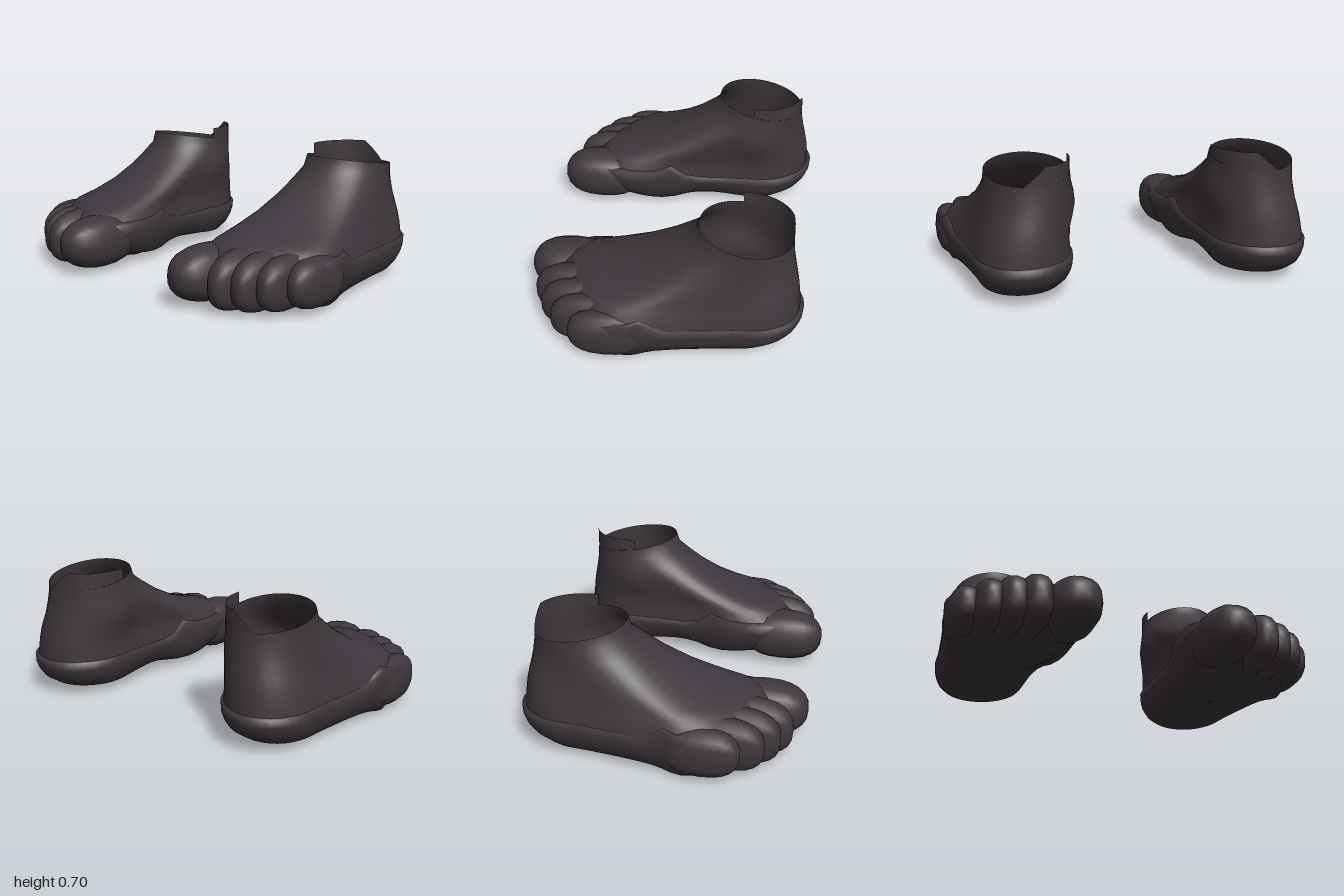
import * as THREE from 'three';
import { mergeVertices } from 'three/addons/utils/BufferGeometryUtils.js';

const N = 48; // points around each ring
const rubber = new THREE.MeshStandardMaterial({ color: 0x3f373d, side: THREE.DoubleSide });
rubber.name = 'darkRubber';

// Foot outline [x, z]: heel, outer side, toe roots, inner side
const outline = new THREE.CatmullRomCurve3([
  [0.65, -0.715], [0.78, -0.67], [0.86, -0.55], [0.885, -0.38],
  [0.915, -0.18], [0.95, 0.02], [0.98, 0.2], [0.92, 0.34],
  [0.67, 0.5], [0.46, 0.54], [0.33, 0.46], [0.295, 0.27],
  [0.355, 0], [0.38, -0.25], [0.4, -0.52], [0.51, -0.67],
].map(([x, z]) => new THREE.Vector3(x, 0, z)), true);
const base = Array.from({ length: N }, (_, i) => outline.getPoint(i / N));

const lerp = THREE.MathUtils.lerp;
const smooth = THREE.MathUtils.smoothstep;
const bell = (v, mid, width) => Math.exp(-(((v - mid) / width) ** 2));
const angle = (i) => (i / N) * Math.PI * 2;
const forward = (i) => (1 - Math.cos(angle(i))) / 2; // 0 at heel, 1 at toes

// Skin between rings listed from bottom to top
function loft(rings, closed = true) {
  const n = rings[0].length;
  const index = [];
  for (let r = 0; r < rings.length - 1; r++) {
    for (let i = 0; i < (closed ? n : n - 1); i++) {
      const a = r * n + i, b = r * n + ((i + 1) % n);
      index.push(a, a + n, b, b, a + n, b + n);
    }
  }
  const g = new THREE.BufferGeometry();
  g.setAttribute('position', new THREE.Float32BufferAttribute(rings.flat(2), 3));
  g.setIndex(index);
  g.computeVertexNormals();
  return g;
}

// Ankle opening, lower at the back
function opening(i) {
  const a = angle(i);
  return [0.6 + 0.215 * Math.sin(a), lerp(0.6, 0.67, forward(i)), -0.42 - 0.237 * Math.cos(a)];
}

// Upper: the outline narrows into the opening. Rows: [heel blend, heel y, toe blend, toe y]
function upperGeometry() {
  const rows = [
    [0, 0.17, 0, 0.2], [0.05, 0.23, 0.02, 0.265], [0.12, 0.28, 0.1, 0.308],
    [0.25, 0.34, 0.27, 0.338], [0.42, 0.39, 0.5, 0.395], [0.62, 0.44, 0.71, 0.473],
    [0.82, 0.5, 0.85, 0.542], [0.95, 0.555, 0.97, 0.605], [1, 0.6, 1, 0.67],
  ];
  return loft(rows.map(([fb, yb, ff, yf]) => base.map((p, i) => {
    const w = forward(i), f = lerp(fb, ff, w), o = opening(i), y = lerp(yb, yf, w);
    const z = lerp(p.z, o[2], f);
    let x = lerp(p.x, o[0], f);
    // rounded shoulders of the forefoot
    x -= (x - 0.63) * 0.18 * w * (1 - f) * smooth(y, 0.2, 0.32);
    // inner ankle bone
    if (x < 0.5) x -= 0.045 * bell(y, 0.45, 0.1) * bell(z, -0.42, 0.13);
    return [x, y, z];
  })));
}

// Sole: shallow bowl with a lip standing just outside the upper
function soleGeometry() {
  const rows = [[0.02, 1], [0.5, 1], [0.85, 0.96], [0.95, 0.72], [1, 0.48], [1.025, 0.25], [1.03, 0], [0.95, -0.05]];
  return loft(rows.map(([s, k]) => base.map((p) => {
    const x = 0.64 + (p.x - 0.64) * s, z = -0.1 + (p.z + 0.1) * s;
    const rim = 0.205 + 0.045 * smooth(p.z, -0.05, 0.1) + 0.025 * bell(p.z, 0.08, 0.05);
    const lift = Math.max(0.05 * bell(z, -0.15, 0.2), 0.04 * smooth(z, 0, 0.2));
    const arch = lift * smooth(0.5 - x, 0, 0.15);
    const bottom = 0.037 - 0.035 * bell(z, 0.18, 0.13) - 0.015 * smooth(z, 0.2, 0.4) + arch;
    return [x, Math.max(0, lerp(rim, bottom, k)), z];
  })));
}

// Pull tab rising from the inner back of the opening, sloping down past the heel
function tabGeometry() {
  const low = [], high = [];
  for (let i = 35; i <= 50; i++) {
    const [x, y, z] = opening(i);
    const slope = i > 46 ? 0.698 - 0.85 * (x - 0.544) : 0.698;
    low.push([x, y, z]);
    high.push([x, Math.max(y, slope), z]);
  }
  return loft([low, high], false);
}

// Toe: a blunt rounded block rising slightly towards its root
function toeGeometry([x, halfW, bottom, top, tip, len, power, rise]) {
  let g = new THREE.SphereGeometry(1, 16, 12);
  g.rotateX(Math.PI / 2);
  g.deleteAttribute('uv');
  g.deleteAttribute('normal');
  g = mergeVertices(g, 1e-4);
  const p = g.attributes.position;
  const blunt = (v) => (Math.abs(v) < 1e-6 ? 0 : Math.sign(v) * Math.abs(v) ** power);
  for (let i = 0; i < p.count; i++) {
    const z = blunt(p.getZ(i));
    p.setXYZ(
      i,
      x + halfW * blunt(p.getX(i)),
      lerp(bottom, top, (blunt(p.getY(i)) + 1) / 2) - rise * z,
      tip - len + len * z,
    );
  }
  g.computeVertexNormals();
  return g;
}

// [x, half width, bottom, top, tip z, half length, bluntness, rise]
const toes = {
  bigToe: [0.425, 0.138, 0.018, 0.3, 0.73, 0.23, 0.83, 0],
  secondToe: [0.618, 0.084, 0.01, 0.308, 0.672, 0.22, 0.75, 0.015],
  thirdToe: [0.722, 0.08, 0.012, 0.303, 0.622, 0.22, 0.75, 0.015],
  fourthToe: [0.822, 0.077, 0.022, 0.295, 0.553, 0.21, 0.75, 0.012],
  littleToe: [0.918, 0.08, 0.028, 0.282, 0.445, 0.19, 0.8, 0],
};

// Flip across x and restore the facing
function mirror(g) {
  g.scale(-1, 1, 1);
  const ix = g.index.array;
  for (let i = 0; i < ix.length; i += 3) [ix[i], ix[i + 1]] = [ix[i + 1], ix[i]];
  g.computeVertexNormals();
  return g;
}

function buildFoot(name, mirrored) {
  const foot = new THREE.Group();
  foot.name = name;
  const add = (part, g) => {
    const mesh = new THREE.Mesh(mirrored ? mirror(g) : g, rubber);
    mesh.name = part;
    foot.add(mesh);
  };
  add('upper', upperGeometry());
  add('sole', soleGeometry());
  add('pullTab', tabGeometry());
  for (const [part, spec] of Object.entries(toes)) add(part, toeGeometry(spec));
  return foot;
}

export function createModel() {
  const model = new THREE.Group();
  model.name = 'toeShoes';
  model.add(buildFoot('leftShoe', false), buildFoot('rightShoe', true));
  return model;
}
